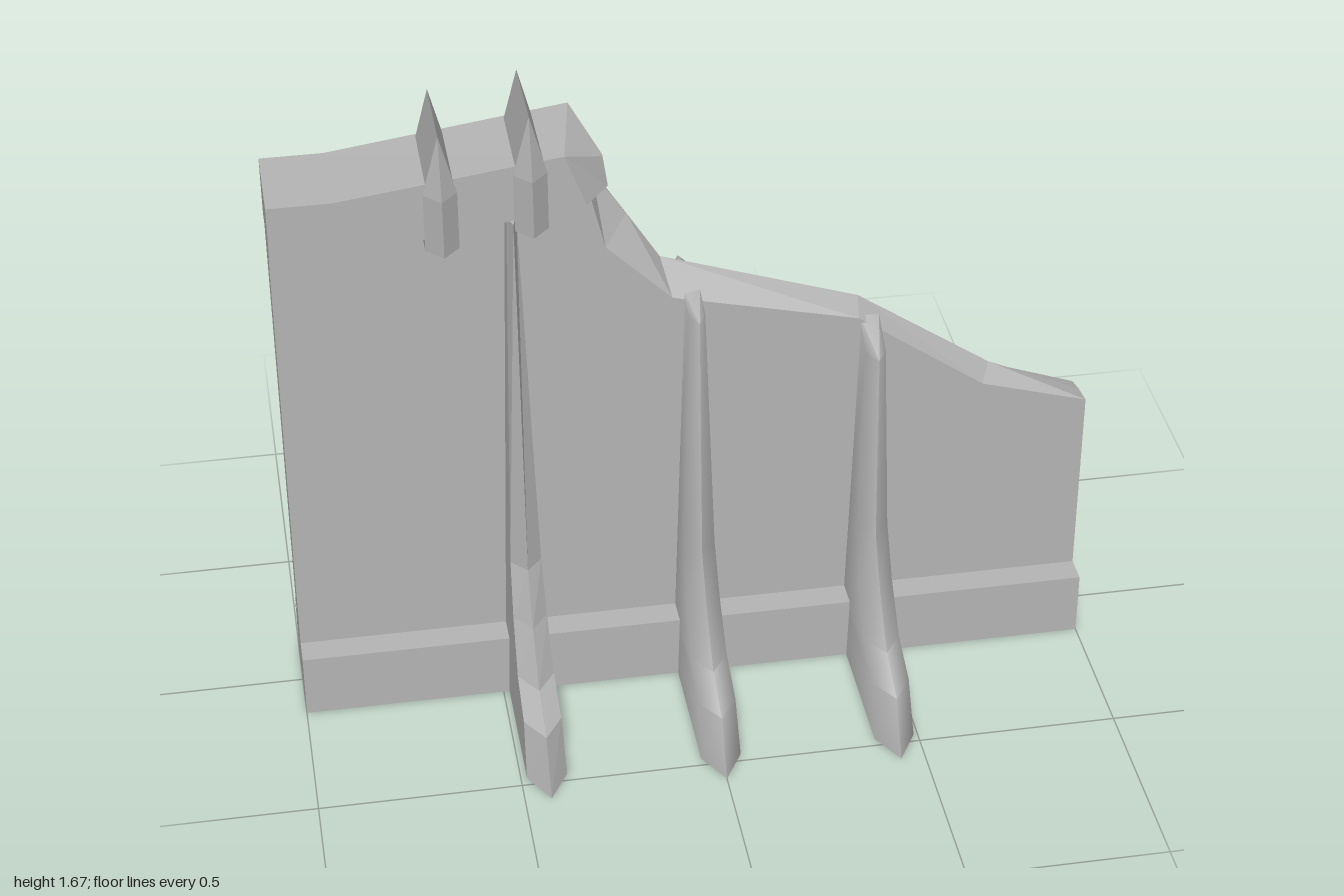
import * as THREE from 'three';
import { toCreasedNormals } from 'three/addons/utils/BufferGeometryUtils.js';

// Skin a row of equal-length cross-sections and close both ends.
// Each section runs counter-clockwise as seen from the far end of the row.
function loft(rings, crease = 0) {
  const n = rings[0].length;
  const index = [];
  for (let r = 0; r < rings.length - 1; r++) {
    for (let i = 0; i < n; i++) {
      const j = (i + 1) % n;
      const a = r * n + i, b = r * n + j;
      index.push(a, b, b + n, a, b + n, a + n);
    }
  }
  const last = (rings.length - 1) * n;
  for (let i = 1; i < n - 1; i++) {
    index.push(0, i + 1, i, last, last + i, last + i + 1);
  }
  const geo = new THREE.BufferGeometry();
  geo.setAttribute('position', new THREE.Float32BufferAttribute(rings.flat(2), 3));
  geo.setIndex(index);
  if (crease) return toCreasedNormals(geo, crease);
  const flat = geo.toNonIndexed();
  flat.computeVertexNormals();
  return flat;
}

export function createModel() {
  const group = new THREE.Group();
  const stone = new THREE.MeshStandardMaterial({ color: 0xb4b4b4 });
  stone.name = 'stone grey';

  const add = (name, geo, x = 0, y = 0, z = 0) => {
    const mesh = new THREE.Mesh(geo, stone);
    mesh.name = name;
    mesh.position.set(x, y, z);
    group.add(mesh);
    return mesh;
  };

  // Plinth along the foot of the wall
  add('plinth', new THREE.BoxGeometry(2, 0.17, 0.26), 0, 0.085, 0.005);

  // Sloping wall: front edge, ridge and back edge of the broken top
  const front = 0.065, back = -0.055;
  const wallTop = [
    [[-1, 1.38], [-1, 1.38], [-1, 1.38]],
    [[-0.25, 1.43], [-0.23, 1.43], [-0.24, 1.43]],
    [[-0.21, 1.26], [-0.15, 1.31], [-0.2, 1.28]],
    [[-0.05, 1.1], [-0.07, 1.18], [-0.06, 1.12]],
    [[0.41, 0.99], [0.42, 1.015], [0.41, 0.98]],
    [[0.73, 0.76], [0.76, 0.78], [0.74, 0.75]],
    [[1, 0.68], [1, 0.67], [1, 0.655]],
  ];
  add('wall', loft(wallTop.map(([f, r, b]) => [
    [r[0], r[1], 0.0],
    [f[0], f[1], front],
    [f[0], 0, front],
    [b[0], 0, back],
    [b[0], b[1], back],
  ])));

  // Coping beam with a broken end
  const beamSection = (x, y0, y1) => [
    [x, y1, 0.12], [x, y0, 0.12], [x, y0, -0.11], [x, y1, -0.11],
  ];
  add('copingBeam', loft([
    beamSection(-1, 1.33, 1.48),
    beamSection(-0.85, 1.33, 1.48),
    [[-0.31, 1.55, 0.12], [-0.26, 1.415, 0.12], [-0.22, 1.42, -0.11], [-0.27, 1.56, -0.11]],
    [[-0.21, 1.495, 0.04], [-0.2, 1.42, 0.05], [-0.2, 1.42, -0.06], [-0.21, 1.495, 0.03]],
  ]));

  // Pointed ridge blocks straddling the coping
  const blockRing = (y, w, tipF, sideF, tipB, sideB) => [
    [0, y, tipF], [w, y, sideF], [w, y, sideB], [0, y, tipB], [-w, y, sideB], [-w, y, sideF],
  ];
  const block = loft([
    blockRing(0, 0.04, 0.162, 0.12, -0.135, -0.1),
    blockRing(0.15, 0.04, 0.162, 0.12, -0.135, -0.1),
    blockRing(0.305, 0, 0.125, 0.125, -0.097, -0.097),
  ]);
  add('ridgeBlockOuter', block, -0.6, 1.33);
  add('ridgeBlockInner', block, -0.39, 1.362);

  // Flared buttresses: height, outer ridge and shoulder distance
  const foot = [
    [0, 0.56, 0.475],
    [0.13, 0.485, 0.415],
    [0.18, 0.365, 0.3],
    [0.3, 0.27, 0.215],
    [0.43, 0.2, 0.16],
  ];
  function buttress(outerTop, innerTop, crease) {
    const reach = 0.2 - (outerTop - 0.43) * 0.0625;
    const rows = [...foot, [outerTop, reach, reach - 0.04]];
    return loft(rows.map(([y, ridge, shoulder], i) => {
      const w = 0.05 - 0.0275 * y;
      const yi = i === rows.length - 1 ? innerTop : y;
      return [
        [0, y, ridge], [w, y, shoulder], [w, yi, 0.045], [-w, yi, 0.045], [-w, y, shoulder],
      ];
    }), crease);
  }
  const buttresses = [
    ['tall', -0.435, [1.39, 1.39], [1.39, 1.39], 0],
    ['middle', 0, [1.08, 1.105], [1.075, 1.1], 1.1],
    ['short', 0.44, [0.93, 0.985], [0.885, 0.92], 1.1],
  ];
  for (const [name, x, f, b, crease] of buttresses) {
    add(`${name}ButtressFront`, buttress(...f, crease), x);
    add(`${name}ButtressBack`, buttress(...b, crease), x).rotation.y = Math.PI;
  }

  return group;
}
